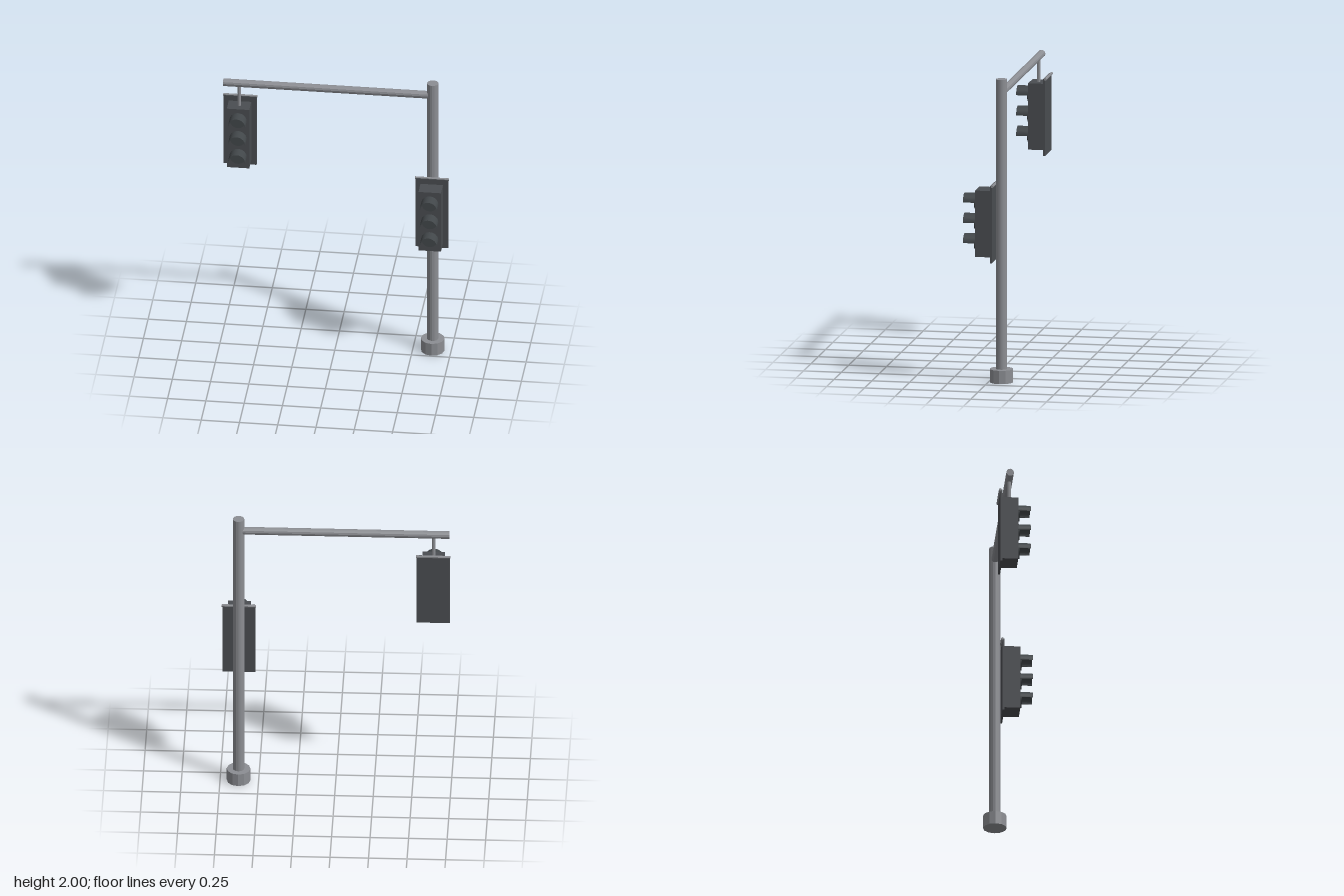
import * as THREE from 'three';

const paint = (name, color) => {
  const m = new THREE.MeshStandardMaterial({ color });
  m.name = name;
  return m;
};

export function createModel() {
  const steel = paint('greySteel', 0x8c8e93);
  steel.flatShading = true;
  const dark = paint('darkHousing', 0x4a4d51);
  const visorPaint = paint('darkVisor', 0x42474a);

  const model = new THREE.Group();
  model.name = 'trafficLight';

  const add = (parent, name, geometry, material, x, y, z) => {
    const mesh = new THREE.Mesh(geometry, material);
    mesh.name = name;
    mesh.position.set(x, y, z);
    parent.add(mesh);
    return mesh;
  };

  // Upright pole, footing and horizontal arm
  const poleX = 0.63, poleZ = -0.083;
  add(model, 'base', new THREE.CylinderGeometry(0.077, 0.077, 0.088, 12), steel, poleX, 0.044, poleZ);
  add(model, 'pole', new THREE.CylinderGeometry(0.037, 0.037, 1.912, 16), steel, poleX, 1.044, poleZ);
  const arm = add(model, 'arm', new THREE.CylinderGeometry(0.025, 0.025, 1.36, 12), steel, -0.058, 1.911, poleZ);
  arm.rotation.z = Math.PI / 2;
  add(model, 'hanger', new THREE.CylinderGeometry(0.012, 0.012, 0.16, 10), steel, -0.635, 1.825, poleZ);

  // Crescent section of a visor: half circle outside, shallower arc inside
  const crescent = new THREE.Shape();
  crescent.absarc(0, 0, 0.056, 0, Math.PI, false);
  crescent.absellipse(0, 0, 0.052, 0.044, Math.PI, 0, true, 0);
  const visorGeometry = new THREE.ExtrudeGeometry(crescent, { depth: 0.083, bevelEnabled: false, curveSegments: 14 });
  const lensGeometry = new THREE.CylinderGeometry(0.052, 0.052, 0.012, 24).rotateX(Math.PI / 2);

  // Signal head, with its origin at the middle lamp on the housing front
  const addSignal = (name, x, y, z) => {
    const head = new THREE.Group();
    head.name = name;
    head.position.set(x, y, z);
    model.add(head);
    add(head, 'housing', new THREE.BoxGeometry(0.147, 0.438, 0.106), dark, 0, -0.003, -0.053);
    add(head, 'backplate', new THREE.BoxGeometry(0.215, 0.508, 0.013), dark, 0, 0, -0.1125);
    const rail = add(head, 'topRail', new THREE.CylinderGeometry(0.009, 0.009, 0.222, 8), steel, 0, 0.252, -0.12);
    rail.rotation.z = Math.PI / 2;
    for (const row of [0.134, 0, -0.134]) {
      add(head, 'lens', lensGeometry, visorPaint, 0, row, 0.006);
      add(head, 'visor', visorGeometry, visorPaint, 0, row - 0.003, 0);
    }
  };
  addSignal('hangingSignal', -0.635, 1.53, -0.028);
  addSignal('poleSignal', poleX, 1.056, 0.078);

  return model;
}
